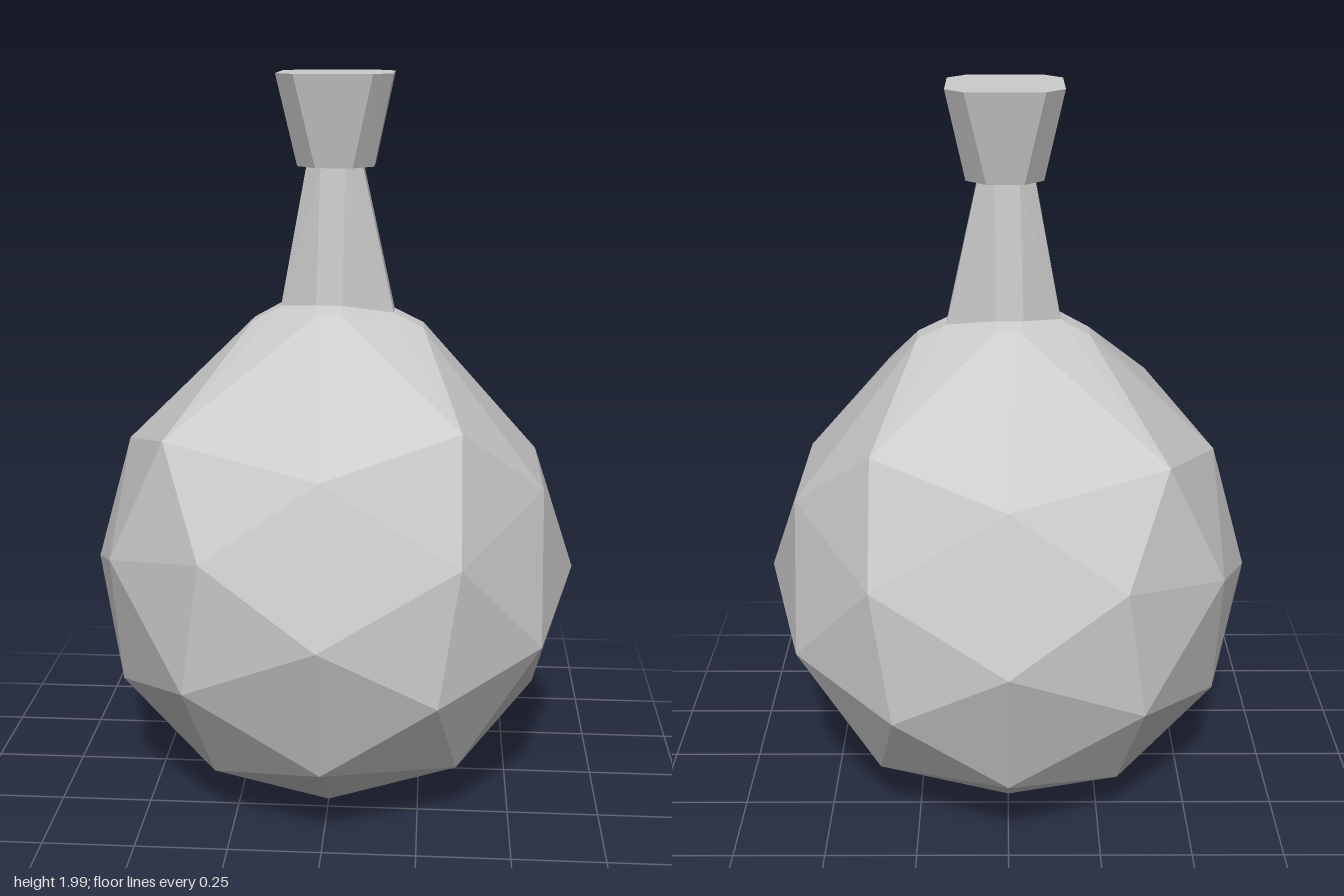
import * as THREE from 'three';
import { ConvexGeometry } from 'three/addons/geometries/ConvexGeometry.js';

const R = 0.672, CENTRE_Y = 0.645;

// Eight-sided ring: x ends at x0/x1 (half width endZ), z sides at +-z (between sx0 and sx1).
// y is given for the left end, the right end and the two sides.
function octagon({ x0, x1, z, sx0, sx1, endZ, y0, y1, ySide }) {
  const points = [];
  for (const s of [-1, 1]) {
    points.push(
      new THREE.Vector3(x0, y0, s * endZ),
      new THREE.Vector3(x1, y1, s * endZ),
      new THREE.Vector3(sx0, ySide, s * z),
      new THREE.Vector3(sx1, ySide, s * z)
    );
  }
  return points;
}

const level = (y, x0, x1, z, sx0, sx1, endZ) =>
  octagon({ x0, x1, z, sx0, sx1, endZ, y0: y, y1: y, ySide: y });

// Evenly spaced points around the x axis, starting straight down (dir -1) or up (dir 1).
function ringAboutX(x, radius, count, dir, turn = 0) {
  return Array.from({ length: count }, (_, i) => {
    const a = turn + (i * 2 * Math.PI) / count;
    return new THREE.Vector3(x, dir * radius * Math.cos(a), radius * Math.sin(a));
  });
}

// Faceted ball: subdivided icosahedron with its poles on x, opened at the top for the neck
function bodyPoints(neckBase) {
  const ball = ringAboutX(0, R, 10, 1, Math.PI / 10);
  for (const s of [-1, 1]) {
    ball.push(new THREE.Vector3(s * R, 0, 0));
    ball.push(...ringAboutX(s * 0.851 * R, 0.526 * R, 5, -s));
    ball.push(...ringAboutX(s * 0.447 * R, 0.894 * R, 5, -s));
    ball.push(...ringAboutX(s * 0.526 * R, 0.851 * R, 5, s));
  }
  const points = ball.filter((p) => p.y < 0.44);
  points.forEach((p) => (p.y += CENTRE_Y));

  // Widened shoulder corners
  for (const s of [-1, 1]) {
    points.push(new THREE.Vector3(0.35, 1.135, s * 0.41), new THREE.Vector3(-0.41, 1.1, s * 0.4));
  }
  // Sloping rim around the neck
  const rim = octagon({
    x0: -0.22, x1: 0.245, z: 0.155, sx0: -0.03, sx1: 0.03, endZ: 0.04,
    y0: 1.34, y1: 1.33, ySide: 1.385
  });
  return [...points, ...rim, ...neckBase];
}

export function createModel() {
  const group = new THREE.Group();
  const material = new THREE.MeshStandardMaterial({ color: 0xcccccc, flatShading: true });
  const add = (name, points) => {
    const mesh = new THREE.Mesh(new ConvexGeometry(points), material);
    mesh.name = name;
    group.add(mesh);
  };

  const neckBase = octagon({
    x0: -0.14, x1: 0.165, z: 0.107, sx0: -0.04, sx1: 0.03, endZ: 0.036,
    y0: 1.385, y1: 1.37, ySide: 1.4
  });

  add('body', bodyPoints(neckBase));
  add('neck', [...neckBase, ...level(1.76, -0.07, 0.079, 0.07, -0.03, 0.035, 0.034)]);
  // Flared stopper with chamfered corners
  add('stopper', [
    ...level(1.76, -0.093, 0.11, 0.102, -0.042, 0.056, 0.05),
    ...level(2, -0.144, 0.16, 0.153, -0.094, 0.11, 0.1)
  ]);
  return group;
}
